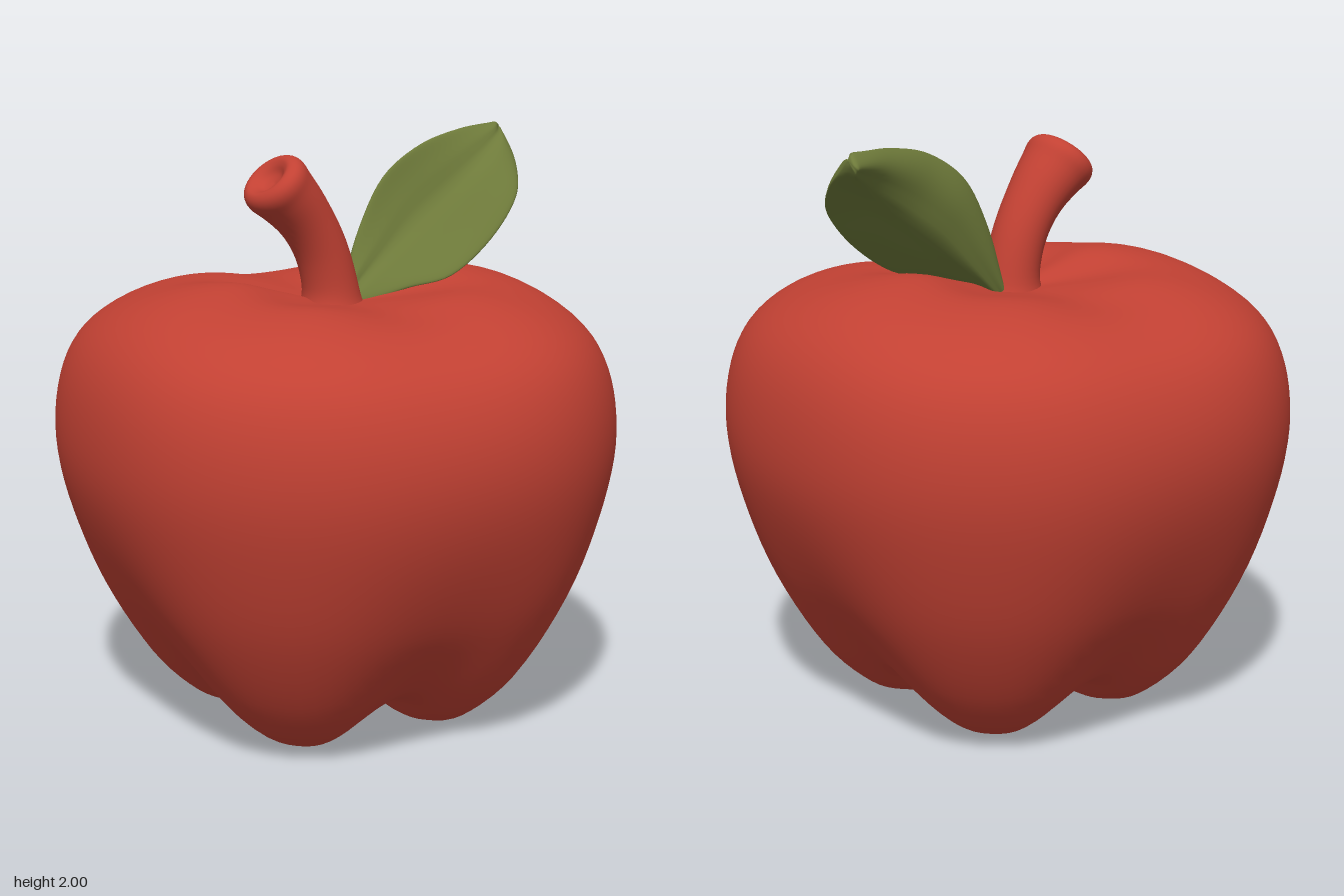
import * as THREE from 'three';
import { mergeVertices } from 'three/addons/utils/BufferGeometryUtils.js';
import { ParametricGeometry } from 'three/addons/geometries/ParametricGeometry.js';

const vec = (p) => new THREE.Vector3(p[0], p[1], p[2] || 0);
const spline = (pts) => new THREE.CatmullRomCurve3(pts.map(vec), false, 'catmullrom', 0.5);

// Smooth welded surface from a rule (u around, v along)
function surface(rule, nu, nv) {
  const g = new ParametricGeometry(rule, nu, nv);
  g.deleteAttribute('uv');
  g.deleteAttribute('normal');
  const welded = mergeVertices(g, 1e-4);
  welded.computeVertexNormals();
  return welded;
}

// Fruit: (radius, height) profiles at the lobes, the sides and the front/back grooves
function fruitGeometry() {
  const base = [[0, 0.08], [0.08, 0.085], [0.16, 0.105], [0.26, 0.13], [0.36, 0.15], [0.47, 0.185],
    [0.58, 0.28], [0.735, 0.48], [0.865, 0.75], [0.92, 0.98]];
  const lobe = spline([[0, 0.08], [0.08, 0.08], [0.16, 0.065], [0.25, 0.015], [0.35, 0], [0.48, 0.035],
    [0.65, 0.19], [0.815, 0.47], [0.915, 0.75], [0.96, 0.99], [0.94, 1.2], [0.86, 1.355], [0.7, 1.46],
    [0.48, 1.51], [0.24, 1.48], [0, 1.44]]);
  const side = spline([...base, [0.9, 1.22], [0.81, 1.39], [0.64, 1.5], [0.4, 1.545], [0.2, 1.5], [0, 1.44]]);
  const front = spline([...base, [0.9, 1.18], [0.81, 1.34], [0.64, 1.44], [0.42, 1.472], [0.2, 1.465], [0, 1.44]]);
  return surface((u, v, out) => {
    const a = u * Math.PI * 2;
    const c = Math.cos(2 * a);
    const p = lobe.getPoint(v).lerp((c > 0 ? side : front).getPoint(v), Math.abs(c) ** 2.7);
    out.set(p.x * Math.cos(a), p.y, -p.x * Math.sin(a));
  }, 96, 75);
}

// Stem: bent sweep flaring to a rounded end with a dimple
function stemGeometry() {
  const path = spline([[-0.01, 1.4], [-0.02, 1.52], [-0.06, 1.65], [-0.135, 1.77], [-0.25, 1.89]]);
  const profile = spline([[0, 0.135], [0.13, 0.1], [0.35, 0.09], [0.6, 0.092], [0.82, 0.106],
    [0.92, 0.115], [0.975, 0.106], [1, 0.083], [0.985, 0.06], [0.95, 0.035], [0.935, 0]]);
  return surface((u, v, out) => {
    const p = profile.getPoint(v);
    const t = Math.min(1, Math.max(0, p.x));
    const r = Math.max(0, p.y);
    const a = u * Math.PI * 2;
    const dir = path.getTangentAt(t);
    out.copy(path.getPointAt(t));
    out.x += dir.y * r * Math.cos(a);
    out.y -= dir.x * r * Math.cos(a);
    out.z -= r * Math.sin(a) * (1 + 0.18 * t);
  }, 32, 48);
}

// Leaf: plump blade skinned over an upper edge, a midrib and a lower edge
function leafGeometry() {
  const upper = spline([[0.05, 1.5, -0.03], [0.12, 1.68, -0.05], [0.22, 1.85, -0.06], [0.37, 1.95, -0.07],
    [0.55, 1.99, -0.11], [0.7, 1.995, -0.165], [0.745, 1.992, -0.18], [0.755, 1.98, -0.17]]);
  const rib = spline([[0.05, 1.46, 0], [0.19, 1.585, -0.01], [0.32, 1.7, -0.02], [0.46, 1.8, -0.03],
    [0.6, 1.89, -0.06], [0.7, 1.95, -0.11], [0.745, 1.975, -0.165], [0.755, 1.98, -0.17]]);
  const lower = spline([[0.06, 1.43, 0.04], [0.22, 1.49, 0.1], [0.37, 1.53, 0.15], [0.54, 1.64, 0.13],
    [0.67, 1.77, 0.08], [0.73, 1.87, -0.02], [0.75, 1.95, -0.13], [0.755, 1.98, -0.17]]);
  const facing = new THREE.Vector3(-0.21, 0.56, 0.8).normalize();
  return surface((u, v, out) => {
    const a = u * Math.PI * 2;
    const w = (1 - Math.cos(a)) / 2;
    const groove = 0.014 * Math.exp(-(((w - 0.5) / 0.1) ** 2));
    const thickness = u < 0.5 ? 0.03 : 0.05 * (1 + 0.7 * Math.cos(a));
    const taper = Math.min(1, (1 - v) * 5);
    out.set(0, 0, 0)
      .addScaledVector(upper.getPoint(v), (1 - w) * (1 - 2 * w))
      .addScaledVector(rib.getPoint(v), 4 * w * (1 - w))
      .addScaledVector(lower.getPoint(v), w * (2 * w - 1))
      .addScaledVector(facing, (thickness * Math.sin(a) - groove) * taper);
  }, 48, 42);
}

export function createModel() {
  const red = new THREE.MeshStandardMaterial({ color: 0xc24133 });
  red.name = 'apple red';
  const green = new THREE.MeshStandardMaterial({ color: 0x6e7a3a });
  green.name = 'leaf green';

  const group = new THREE.Group();
  group.name = 'apple';
  const add = (name, geometry, material) => {
    const mesh = new THREE.Mesh(geometry, material);
    mesh.name = name;
    group.add(mesh);
  };
  add('fruit', fruitGeometry(), red);
  add('stem', stemGeometry(), red);
  add('leaf', leafGeometry(), green);
  return group;
}
